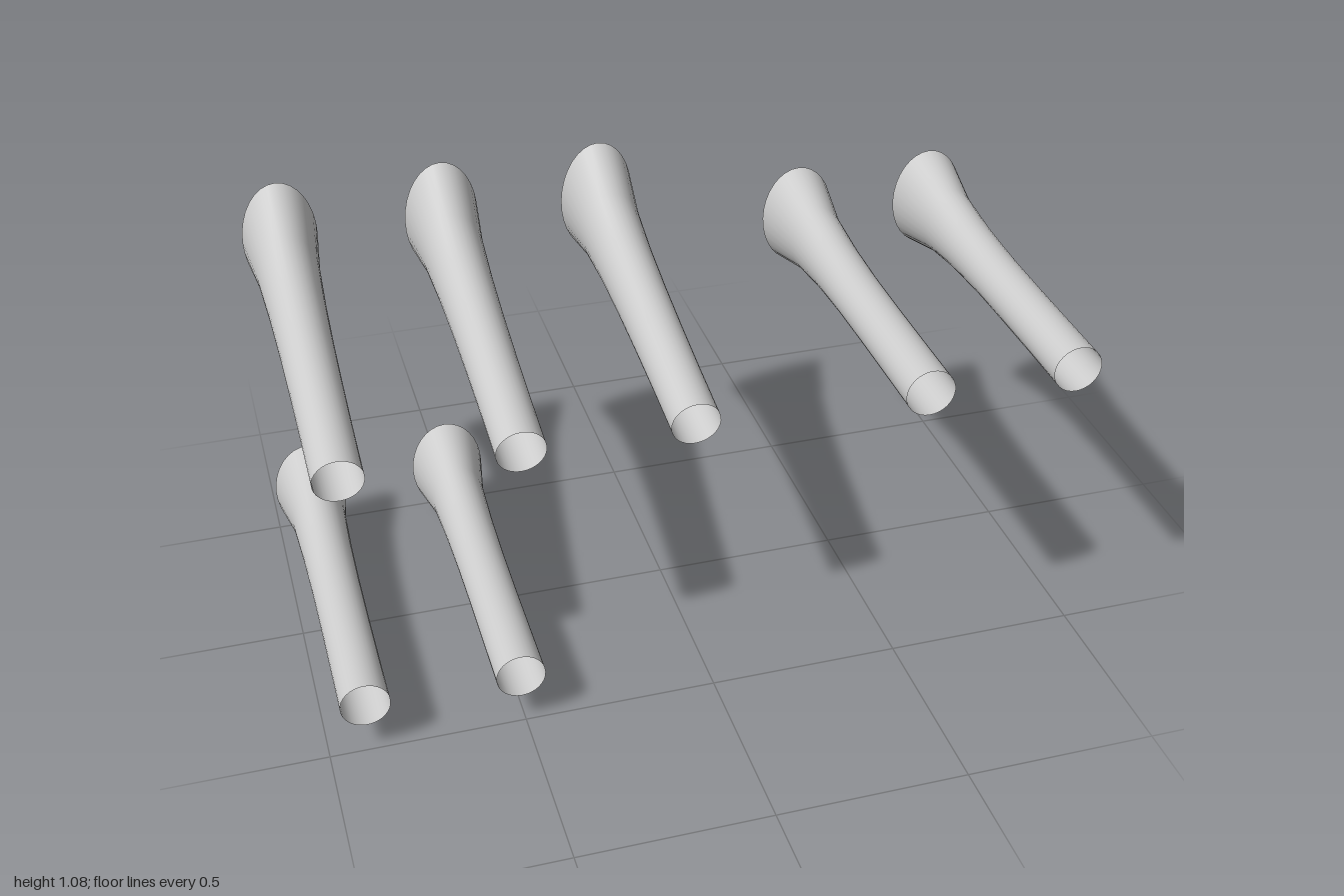
import * as THREE from 'three';
import { mergeVertices } from 'three/addons/utils/BufferGeometryUtils.js';

const LENGTH = 0.97;

// Open flared tube: half widths and half heights at even stations from mouthpiece to bell
function hornGeometry(widths, heights) {
  const steps = widths.length - 1;
  let geo = new THREE.CylinderGeometry(1, 1, LENGTH, 32, steps, true);
  const pos = geo.attributes.position;
  for (let i = 0; i < pos.count; i++) {
    const k = Math.round((pos.getY(i) / LENGTH + 0.5) * steps);
    pos.setX(i, pos.getX(i) * widths[k]);
    pos.setZ(i, pos.getZ(i) * heights[k]);
  }
  geo.deleteAttribute('uv');
  geo.deleteAttribute('normal');
  geo = mergeVertices(geo);
  geo.rotateX(-Math.PI / 2); // bell points to the back
  geo.computeVertexNormals();
  return geo;
}

export function createModel() {
  const model = new THREE.Group();
  model.name = 'hornSet';
  const material = new THREE.MeshStandardMaterial({ color: 0xcccccc, side: THREE.DoubleSide });

  const straight = hornGeometry(
    [0.063, 0.063, 0.063, 0.064, 0.067, 0.073, 0.1],
    [0.062, 0.062, 0.063, 0.065, 0.075, 0.098, 0.142]);
  const tall = hornGeometry(
    [0.063, 0.064, 0.066, 0.069, 0.074, 0.082, 0.1],
    [0.063, 0.067, 0.073, 0.081, 0.092, 0.117, 0.177]);

  const addRow = (name, geometry, xs, y, z, tilt) => xs.forEach((x, i) => {
    const horn = new THREE.Mesh(geometry, material);
    horn.name = name + (i + 1);
    horn.position.set(x, y, z);
    horn.rotation.x = tilt;
    model.add(horn);
  });

  addRow('lowerHorn', straight, [-0.9, -0.507], 0.145, 0.013, 0);
  addRow('upperHorn', straight, [0.51, 0.897], 0.856, 0.093, 0);
  addRow('tiltedHorn', tall, [-0.9, -0.463, -0.027], 0.835, -0.069, 0.156);

  return model;
}
